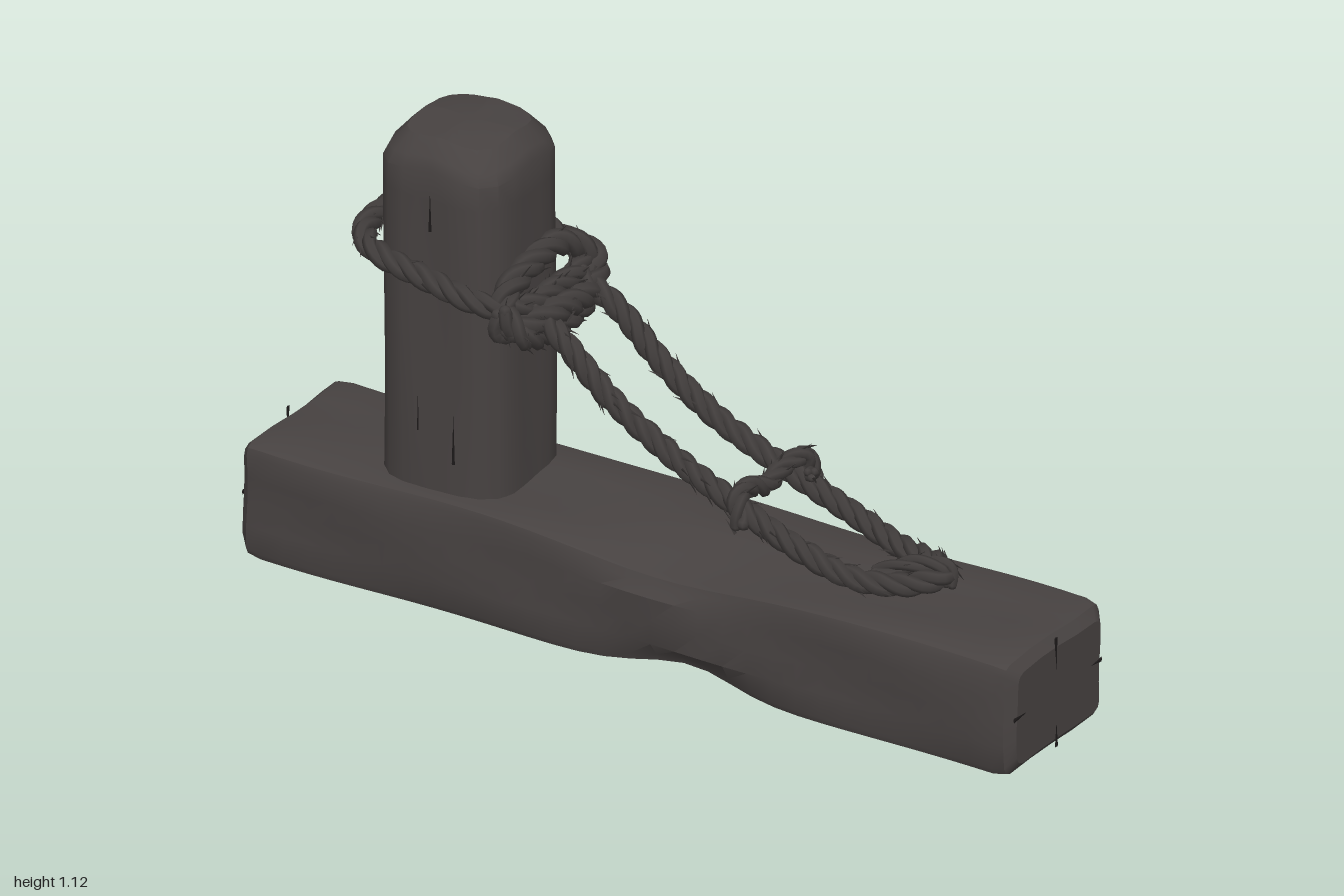
import * as THREE from 'three';
import { toCreasedNormals, mergeGeometries } from 'three/addons/utils/BufferGeometryUtils.js';

const V = (x, y, z) => new THREE.Vector3(x, y, z);
const bump = (x, c, w) => Math.exp(-(((x - c) / w) ** 2));

function seeded(seed) {
  return () => {
    seed = (seed * 16807) % 2147483647;
    return seed / 2147483647;
  };
}

// Rounded rectangle outline, counter-clockwise, with extra points along each side
function outline(halfU, halfV, r, steps = 3, sidePoints = 3) {
  const corners = [[1, 1, 0], [-1, 1, 1], [-1, -1, 2], [1, -1, 3]];
  const arcs = corners.map(([su, sv, q]) => Array.from({ length: steps + 1 }, (_, i) => {
    const a = (q + i / steps) * Math.PI / 2;
    return [su * (halfU - r) + r * Math.cos(a), sv * (halfV - r) + r * Math.sin(a)];
  }));
  const pts = [];
  arcs.forEach((arc, k) => {
    pts.push(...arc);
    const a = arc[steps], b = arcs[(k + 1) % 4][0];
    for (let i = 1; i <= sidePoints; i++) {
      const t = i / (sidePoints + 1);
      pts.push([a[0] + (b[0] - a[0]) * t, a[1] + (b[1] - a[1]) * t]);
    }
  });
  return pts;
}

// Closed skin through rings of points, with a fan at either end
function loft(rings, crease) {
  const n = rings[0].length, pos = [], idx = [];
  rings.forEach(ring => ring.forEach(p => pos.push(p.x, p.y, p.z)));
  for (let i = 0; i < rings.length - 1; i++) {
    for (let j = 0; j < n; j++) {
      const a = i * n + j, b = i * n + (j + 1) % n;
      idx.push(a, b, a + n, b, b + n, a + n);
    }
  }
  [0, rings.length - 1].forEach((k, end) => {
    const c = rings[k].reduce((s, p) => s.add(p), V(0, 0, 0)).divideScalar(n);
    const ci = pos.length / 3;
    pos.push(c.x, c.y, c.z);
    for (let j = 0; j < n; j++) {
      const a = k * n + j, b = k * n + (j + 1) % n;
      idx.push(ci, end ? a : b, end ? b : a);
    }
  });
  const g = new THREE.BufferGeometry();
  g.setAttribute('position', new THREE.Float32BufferAttribute(pos, 3));
  g.setIndex(idx);
  return toCreasedNormals(g, crease);
}

// Horizontal beam: rough-hewn, with worn front edges
function beamGeometry() {
  const stations = [[-0.997, 0.025], [-0.975, 0.004]];
  for (let i = 0; i <= 30; i++) stations.push([-0.94 + i * 1.88 / 30, 0]);
  stations.push([0.97, 0.005], [0.99, 0.028]);
  return loft(stations.map(([x, inset]) => outline(0.138 - inset, 0.193 - inset, 0.022, 2).map(([u, v]) => {
    let y = 0.148 + u, z = v;
    y += 0.004 * Math.sin(x * 7 + v * 20) * (u > 0 ? 1 : 0.5);
    z += 0.004 * Math.sin(x * 9 + u * 24);
    if (v > 0.08 && u > 0.09) {
      y -= 0.035 * bump(x, 0.08, 0.26);
      z -= 0.015 * bump(x, 0.08, 0.26);
    }
    if (v > 0.08 && u < -0.09) {
      y += 0.03 * bump(x, 0.14, 0.15);
      z -= 0.03 * bump(x, 0.14, 0.17);
    }
    if (v < -0.1 && u < -0.09) y += 0.02 * bump(x, -0.15, 0.2);
    return V(x, y, z);
  })), 0.55);
}

// Upright post: rounded square with a chamfered top
function postGeometry() {
  const stations = [[0.26, 0]];
  for (let i = 0; i <= 10; i++) stations.push([0.3 + i * 0.076, 0]);
  stations.push([1.085, 0.012], [1.118, 0.045], [1.123, 0.09]);
  return loft(stations.map(([y, inset]) =>
    outline(0.157 - inset, 0.159 - inset, Math.max(0.055, 0.085 - inset * 0.6), 3).map(([u, v]) => {
      const corner = Math.abs(u * v) / 0.02;
      const drop = y > 1.05 ? 0.022 * corner : 0;
      const wave = 1 + 0.012 * Math.sin(y * 6 + Math.atan2(v, u) * 5);
      return V(-0.528 + v * wave, y - drop, -0.008 + u * wave);
    })), 0.6);
}

// Three-strand twisted rope along a path, with loose fibres
function ropeGeometry(points, closed, seed, radius = 0.028) {
  const path = new THREE.CatmullRomCurve3(points.map(p => V(...p)), closed);
  const length = path.getLength(), n = Math.ceil(length * 90);
  const frames = path.computeFrenetFrames(n, closed);
  const turns = Math.max(1, Math.round(length / 0.15));
  const at = (i, angle, r) => path.getPointAt(i / n)
    .addScaledVector(frames.normals[i], Math.cos(angle) * r)
    .addScaledVector(frames.binormals[i], Math.sin(angle) * r);
  const parts = [];
  for (let s = 0; s < 3; s++) {
    const pts = [];
    for (let i = 0; i < n + (closed ? 0 : 1); i++) {
      pts.push(at(i, (i / n) * turns * Math.PI * 2 + s * Math.PI * 2 / 3, radius * 0.48));
    }
    const strand = new THREE.CatmullRomCurve3(pts, closed);
    parts.push(new THREE.TubeGeometry(strand, n, radius * 0.55, 6, closed));
    if (!closed) {
      [pts[0], pts[n]].forEach(p => parts.push(
        new THREE.SphereGeometry(radius * 0.55, 6, 4).translate(p.x, p.y, p.z)));
    }
  }
  const rand = seeded(seed);
  for (let k = 0; k < length * 45; k++) {
    const i = Math.floor(rand() * n), angle = rand() * Math.PI * 2;
    const p = at(i, angle, radius * 0.95);
    const dir = p.clone().sub(path.getPointAt(i / n)).normalize().addScaledVector(frames.tangents[i], 2);
    const fibre = new THREE.ConeGeometry(0.005, 0.04, 3);
    fibre.applyQuaternion(new THREE.Quaternion().setFromUnitVectors(V(0, 1, 0), dir.normalize()));
    parts.push(fibre.translate(p.x, p.y, p.z));
  }
  return mergeGeometries(parts);
}

export function createModel() {
  const group = new THREE.Group();
  const paint = (name, color) => Object.assign(new THREE.MeshStandardMaterial({ color }), { name });
  const wood = paint('dark wood', 0x474241);
  const ropeColor = paint('dark rope', 0x403c3b);
  const crackColor = paint('crack', 0x1e1b1b);
  const add = (name, geometry, material) => {
    const mesh = new THREE.Mesh(geometry, material);
    mesh.name = name;
    group.add(mesh);
    return mesh;
  };

  add('beam', beamGeometry(), wood);
  add('post', postGeometry(), wood);

  // Rope collar, sloping down towards the knot
  const collar = outline(0.212, 0.185, 0.11, 3, 1).map(([u, v]) =>
    [-0.52 + u, 0.81 - u * 0.2, -0.008 - v]);
  add('collarRope', ropeGeometry(collar, true, 11), ropeColor);

  // Knot beside the post: a wrapped loop and a lower bar
  add('knotLoop', ropeGeometry([
    [-0.33, 0.73, 0.165], [-0.345, 0.79, 0.14], [-0.35, 0.83, 0.02], [-0.345, 0.83, -0.1],
    [-0.31, 0.77, -0.17], [-0.28, 0.735, -0.1], [-0.27, 0.75, 0.06]], true, 23, 0.032), ropeColor);
  add('knotBar', ropeGeometry([
    [-0.33, 0.78, 0.17], [-0.29, 0.72, 0.15], [-0.29, 0.69, 0.06],
    [-0.29, 0.69, -0.07], [-0.3, 0.71, -0.15], [-0.33, 0.78, -0.17]], false, 37), ropeColor);

  // Long hanging loop: down one side, round the tip and back
  add('hangingRope', ropeGeometry([
    [-0.31, 0.76, 0.08], [-0.22, 0.7, 0.09], [-0.1, 0.595, 0.09], [0.05, 0.5, 0.085], [0.22, 0.43, 0.09],
    [0.38, 0.365, 0.09], [0.52, 0.32, 0.07], [0.62, 0.318, 0.025], [0.68, 0.335, -0.025],
    [0.62, 0.33, -0.075], [0.52, 0.325, -0.105], [0.38, 0.365, -0.12], [0.22, 0.43, -0.11],
    [0.05, 0.5, -0.11], [-0.1, 0.595, -0.115], [-0.22, 0.7, -0.115], [-0.31, 0.76, -0.1]], false, 53), ropeColor);
  add('tipLoop', ropeGeometry([
    [0.54, 0.325, 0.03], [0.62, 0.355, -0.005], [0.685, 0.35, -0.03], [0.69, 0.315, -0.035]], false, 61, 0.021), ropeColor);

  // Cross tie with loose ends
  add('crossTie', ropeGeometry([
    [0.25, 0.4, 0.12], [0.23, 0.45, 0.1], [0.225, 0.455, 0.05], [0.225, 0.43, -0.02],
    [0.23, 0.45, -0.09], [0.25, 0.46, -0.135], [0.25, 0.39, -0.17]], false, 71, 0.024), ropeColor);
  add('tieEnd', ropeGeometry([
    [0.29, 0.44, -0.1], [0.26, 0.41, -0.14], [0.235, 0.37, -0.17]], false, 83, 0.018), ropeColor);

  // Cracks in both beam ends: thin tapered slivers [y, z, length, angle]
  const cracks = [[0.24, 0.01, 0.09, 3.2], [0.05, 0.01, 0.06, 0], [0.155, 0.155, 0.05, -1.57], [0.155, -0.15, 0.04, 1.57]];
  [[0.991, 1], [-0.998, -1]].forEach(([x, side]) => cracks.forEach(([y, z, len, angle]) => {
    const crack = add('endCrack', new THREE.ConeGeometry(0.006, len, 4).scale(0.3, 1, 1), crackColor);
    crack.position.set(x, y, z * side);
    crack.rotation.x = angle * side;
  }));

  // Grain splits along the front and back of the post [x, y, length]
  [[-0.56, 0.5, 0.16], [-0.47, 0.42, 0.12], [-0.53, 0.96, 0.1]].forEach(([x, y, len]) => {
    [0.149, -0.165].forEach(z => {
      const split = add('postSplit', new THREE.ConeGeometry(0.004, len, 4), crackColor);
      split.position.set(x, y, z);
    });
  });
  return group;
}
